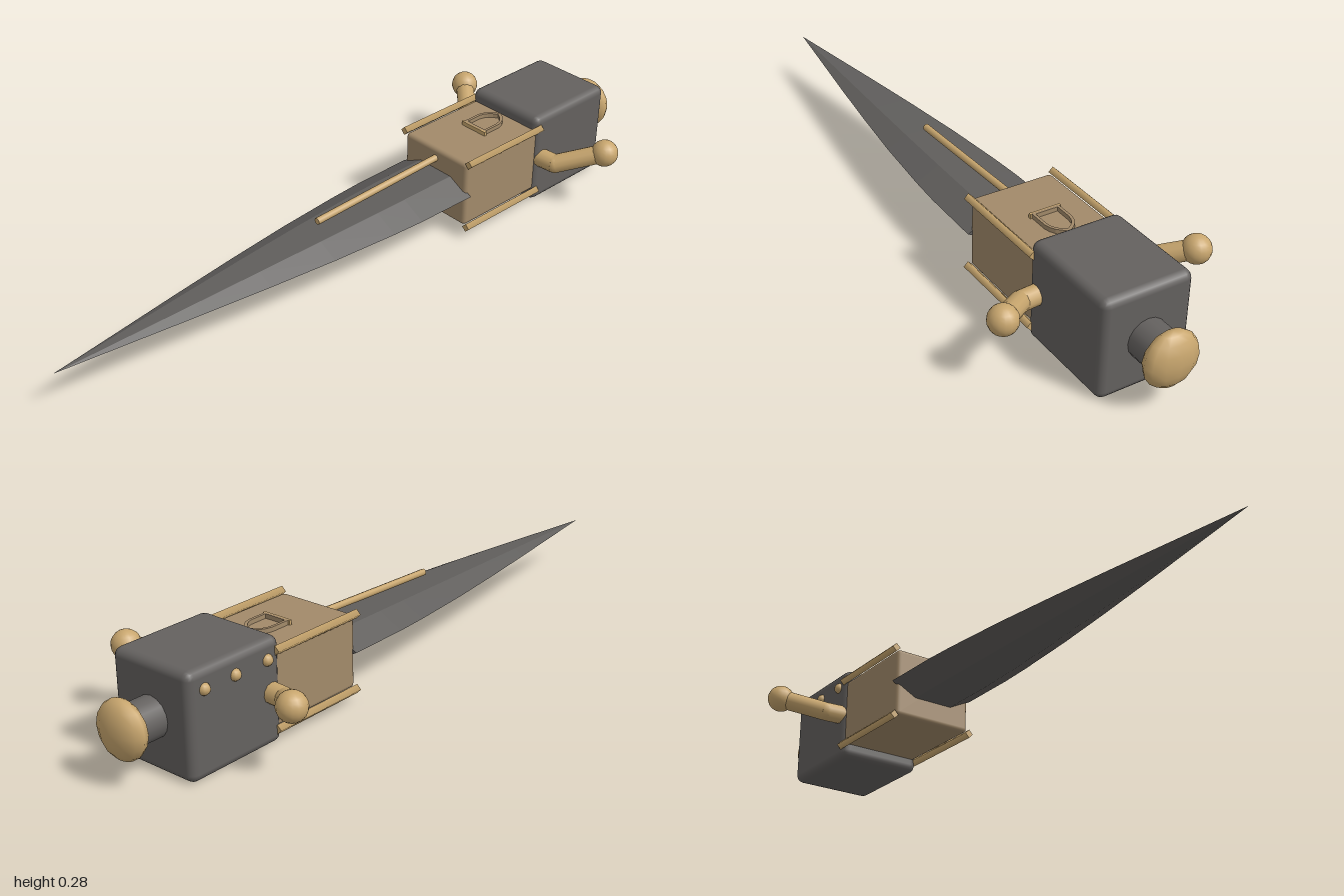
import * as THREE from 'three';
import { RoundedBoxGeometry } from 'three/addons/geometries/RoundedBoxGeometry.js';

const mat = (name, color, extra = {}) => new THREE.MeshStandardMaterial({ name, color, ...extra });

export function createModel() {
  const group = new THREE.Group();
  const iron = mat('dark iron', 0x64615f);
  const steel = mat('dark steel', 0x605e5c, { flatShading: true });
  const wood = mat('tan casing', 0xa28a6a);
  const brass = mat('brass', 0xc8a66e);
  const MID = 0.143; // height of the long axis

  const add = (name, geometry, material, x = 0, y = 0, z = 0) => {
    const mesh = new THREE.Mesh(geometry, material);
    mesh.name = name;
    mesh.position.set(x, y, z);
    group.add(mesh);
    return mesh;
  };
  // cylinder running from a to b
  const rod = (name, a, b, r, sides, material) => {
    const dir = b.clone().sub(a);
    const mesh = add(name, new THREE.CylinderGeometry(r, r, dir.length(), sides), material);
    mesh.position.copy(a).add(b).multiplyScalar(0.5);
    mesh.quaternion.setFromUnitVectors(new THREE.Vector3(0, 1, 0), dir.normalize());
    return mesh;
  };
  const v = (x, y, z) => new THREE.Vector3(x, y, z);

  // main bodies
  add('rearBlock', new RoundedBoxGeometry(0.26, 0.285, 0.305, 2, 0.022), iron, 0, MID, -0.718);
  add('frontCasing', new RoundedBoxGeometry(0.246, 0.207, 0.32, 2, 0.012), wood, 0, MID, -0.44);

  // hexagonal blade, tapering along a gentle curve
  const stations = [[-0.29, 0.136], [-0.1, 0.133], [0, 0.127], [0.2, 0.109], [0.4, 0.085],
    [0.6, 0.058], [0.8, 0.029], [1, 0.0005]];
  const ring = ([z, w]) => [[1, 0], [0.45, 0.285], [-0.45, 0.285], [-1, 0], [-0.45, -0.285], [0.45, -0.285]]
    .map(([x, y]) => [x * w, MID + y * w, z]);
  const pos = [];
  for (let i = 0; i < stations.length - 1; i++) {
    const a = ring(stations[i]), b = ring(stations[i + 1]);
    for (let k = 0; k < 6; k++) {
      const n = (k + 1) % 6;
      pos.push(...a[k], ...a[n], ...b[n], ...a[k], ...b[n], ...b[k]);
    }
  }
  const base = ring(stations[0]);
  for (let k = 1; k < 5; k++) pos.push(...base[0], ...base[k + 1], ...base[k]);
  const bladeGeo = new THREE.BufferGeometry();
  bladeGeo.setAttribute('position', new THREE.Float32BufferAttribute(pos, 3));
  bladeGeo.computeVertexNormals();
  add('blade', bladeGeo, steel);

  // slim rod above the blade
  rod('ramrod', v(0, 0.217, -0.3), v(0, 0.201, 0.17), 0.01, 8, brass);

  // square rails on the casing corners, seen as diamonds from the end
  for (const x of [-0.13, 0.13])
    for (const y of [0.037, 0.249])
      rod('cornerRail', v(x, y, -0.585), v(x, y, -0.28), 0.013, 4, brass);

  // bent guard arms with ball ends
  for (const s of [-1, 1]) {
    const elbow = v(s * 0.178, MID, -0.603), end = v(s * 0.285, 0.19, -0.695);
    rod('guardRoot', v(s * 0.1, MID, -0.597), elbow, 0.028, 12, brass);
    add('guardElbow', new THREE.SphereGeometry(0.028, 12, 8), brass, elbow.x, elbow.y, elbow.z);
    rod('guardArm', elbow, end, 0.028, 12, brass);
    add('guardBall', new THREE.SphereGeometry(0.04, 16, 12), brass, end.x, end.y, end.z);
  }

  // pommel
  rod('pommelNeck', v(0, MID, -0.86), v(0, MID, -0.94), 0.055, 16, iron);
  const knob = add('pommelKnob', new THREE.SphereGeometry(0.078, 12, 8), brass, 0, MID + 0.001, -0.96);
  knob.scale.z = 0.52;

  // studs on one side of the rear block
  for (const z of [-0.82, -0.72, -0.612])
    add('sideStud', new THREE.SphereGeometry(0.016, 10, 8), brass, -0.129, 0.234, z);

  // pointed-arch frame on top of the casing
  const arch = (Type, w, low, shoulder, tip) => {
    const s = new Type();
    s.moveTo(-w, low);
    s.lineTo(w, low);
    s.lineTo(w, shoulder);
    s.quadraticCurveTo(w * 0.9, (shoulder + tip) / 2 + 0.008, 0, tip);
    s.quadraticCurveTo(-w * 0.9, (shoulder + tip) / 2 + 0.008, -w, shoulder);
    s.closePath();
    return s;
  };
  const frame = arch(THREE.Shape, 0.041, 0, 0.06, 0.113);
  frame.holes.push(arch(THREE.Path, 0.033, 0.008, 0.058, 0.102));
  const frameGeo = new THREE.ExtrudeGeometry(frame, { depth: 0.016, bevelEnabled: false, curveSegments: 4 });
  add('archFrame', frameGeo.rotateX(-Math.PI / 2), wood, 0, 0.243, -0.438);
  add('archSill', new THREE.BoxGeometry(0.092, 0.016, 0.008), brass, 0, 0.251, -0.438);

  return group;
}
